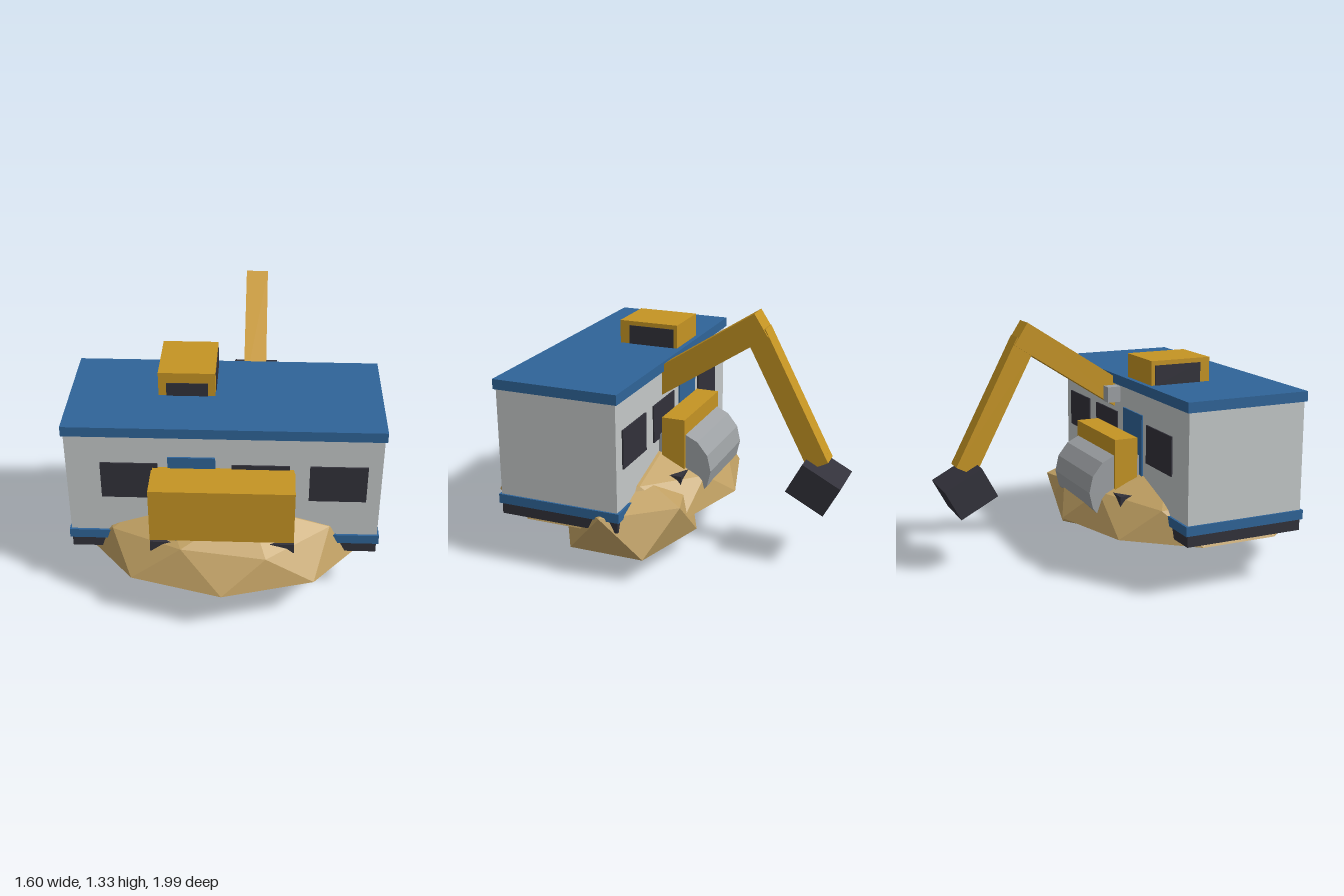
import * as THREE from 'three';

const mat = (name, color, extra = {}) => {
  const m = new THREE.MeshStandardMaterial({ color, ...extra });
  m.name = name;
  return m;
};

export function createModel() {
  const model = new THREE.Group();
  model.name = 'diggerCabin';

  const wall = mat('wallGrey', 0xc4c8c8);
  const blue = mat('trimBlue', 0x2f6498);
  const yellow = mat('machineYellow', 0xc59423);
  const dark = mat('darkCharcoal', 0x32313a);
  const earth = mat('earthTan', 0xc0a063, { flatShading: true });
  const steel = mat('steelGrey', 0x9da1a4, { flatShading: true });

  const add = (name, geometry, material, parent = model) => {
    const mesh = new THREE.Mesh(geometry, material);
    mesh.name = name;
    parent.add(mesh);
    return mesh;
  };
  // Box given by its limits on each axis
  const box = (name, material, x0, x1, y0, y1, z0, z1, parent = model) => {
    const mesh = add(name, new THREE.BoxGeometry(x1 - x0, y1 - y0, z1 - z0), material, parent);
    mesh.position.set((x0 + x1) / 2, (y0 + y1) / 2, (z0 + z1) / 2);
    return mesh;
  };
  const group = (name) => {
    const g = new THREE.Group();
    g.name = name;
    model.add(g);
    return g;
  };
  // Icosahedron standing on one corner
  const poleUp = (detail) => new THREE.IcosahedronGeometry(1, detail)
    .rotateZ(-Math.atan(2 / (1 + Math.sqrt(5))));

  // Flat-bottomed earth mound
  const moundGeo = poleUp(1);
  const p = moundGeo.attributes.position;
  for (let i = 0; i < p.count; i++) p.setY(i, Math.max(0, p.getY(i)));
  moundGeo.scale(0.78, 0.36, 0.675);
  moundGeo.computeVertexNormals();
  add('mound', moundGeo, earth).position.set(-0.01, 0.265, 0.322);

  // Boulder
  const boulderGeo = poleUp(0).scale(0.442, 0.253, 0.385);
  boulderGeo.computeVertexNormals();
  add('boulder', boulderGeo, earth).position.set(0.405, 0.258, 0.09);

  // Buried undercarriage whose corners break through the mound
  box('undercarriage', dark, -0.37, 0.345, 0.3, 0.46, -0.17, 0.82);
  box('frontStep', steel, -0.245, -0.09, 0.38, 0.525, 0.6, 0.82);

  // Cabin shell
  const cabin = group('cabin');
  box('skirt', dark, -0.79, 0.77, 0.295, 0.355, 0, 0.655, cabin);
  box('baseTrim', blue, -0.8, 0.78, 0.355, 0.405, -0.012, 0.667, cabin);
  box('walls', wall, -0.79, 0.77, 0.405, 0.975, 0, 0.655, cabin);
  box('roof', blue, -0.8, 0.78, 0.975, 1.028, -0.012, 0.667, cabin);

  // Windows and doors on both long walls
  for (const [side, z] of [['front', 0.655], ['back', -0.008]]) {
    for (const x of [-0.62, 0.03, 0.415]) {
      box(side + 'Window', dark, x, x + 0.285, 0.615, 0.82, z, z + 0.008, cabin);
    }
    box(side + 'Door', blue, -0.285, -0.05, 0.405, 0.86, z, z + 0.009, cabin);
  }

  // Operator cab on the roof
  const cab = group('operatorCab');
  box('cabShell', yellow, -0.35, -0.063, 1.02, 1.156, 0.015, 0.352, cab);
  box('cabFrontWindow', dark, -0.31, -0.1, 1.028, 1.1, 0.352, 0.357, cab);
  for (const x of [-0.354, -0.063]) {
    box('cabSideWindow', dark, x, x + 0.004, 1.028, 1.132, 0.035, 0.297, cab);
  }

  // Front counterweight
  box('counterweight', yellow, -0.36, 0.34, 0.535, 0.824, 0.718, 0.897);
  box('counterweightMount', yellow, -0.36, 0.337, 0.54, 0.798, 0.6, 0.718);

  // Rear block and drum
  box('rearBlock', yellow, -0.268, 0.25, 0.42, 0.74, -0.153, -0.025);
  const drum = add('drum', new THREE.CylinderGeometry(0.2, 0.2, 0.49, 14).rotateZ(Math.PI / 2), steel);
  drum.position.set(-0.01, 0.465, -0.095);

  // Small bracket beside the boom
  box('bracket', steel, 0, 0.06, 0.88, 0.965, -0.073, 0.02);

  // Digging arm: each bar runs between two (z, y) points
  const arm = group('diggerArm');
  const bar = (name, material, x, width, depth, [z0, y0], [z1, y1]) => {
    const length = Math.hypot(z1 - z0, y1 - y0);
    const mesh = add(name, new THREE.BoxGeometry(width, length, depth), material, arm);
    mesh.position.set(x, (y0 + y1) / 2, (z0 + z1) / 2);
    mesh.rotation.x = Math.atan2(z1 - z0, y1 - y0);
  };
  bar('boom', yellow, 0.132, 0.117, 0.137, [0.1, 0.86], [-0.537, 1.274]);
  bar('stick', yellow, 0.131, 0.1, 0.115, [-0.505, 1.23], [-0.855, 0.567]);
  bar('bucket', dark, 0.13, 0.26, 0.229, [-0.896, 0.54], [-0.812, 0.379]);
  bar('bucketNeck', yellow, 0.131, 0.1, 0.115, [-0.84, 0.596], [-0.858, 0.562]);

  return model;
}
